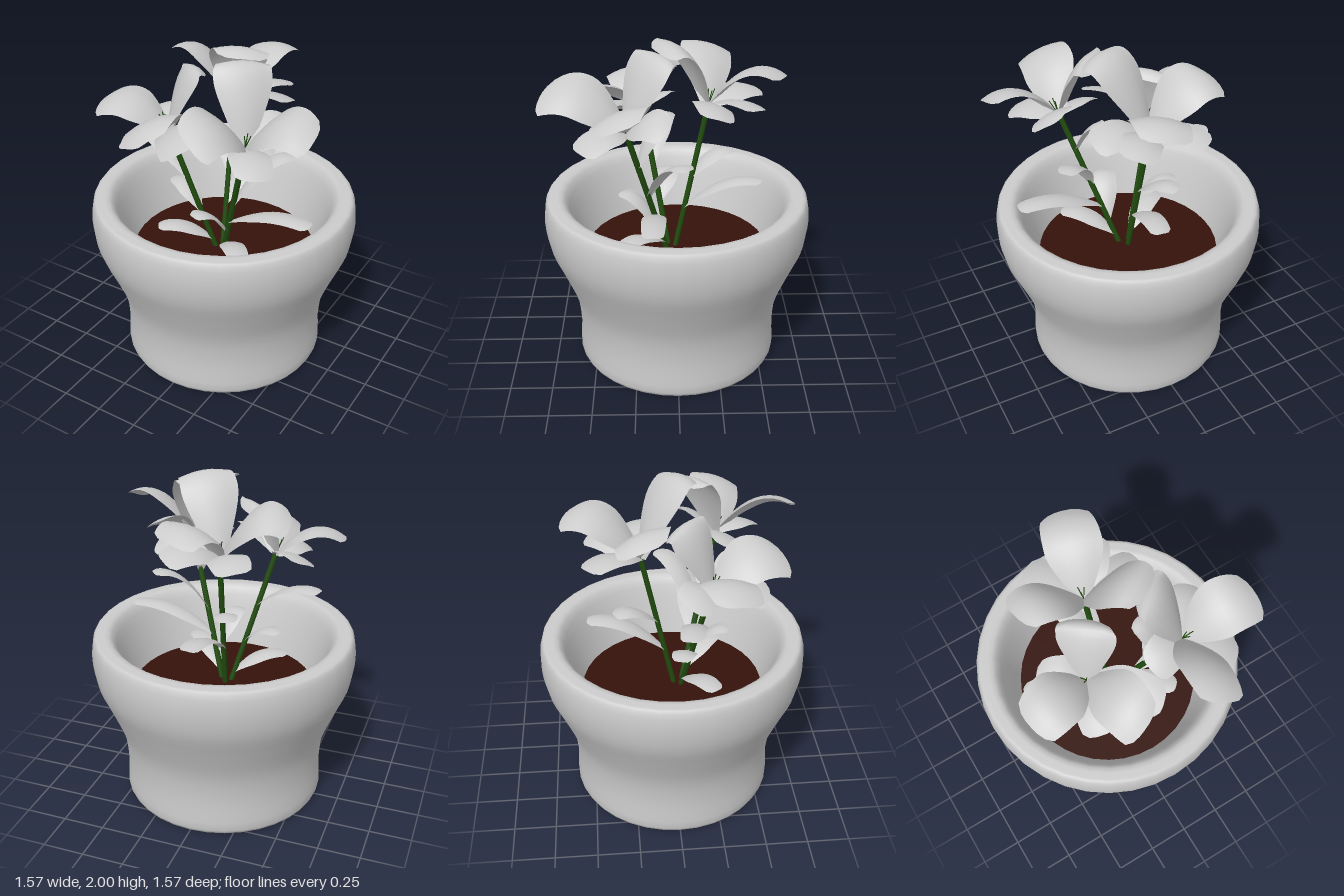
import * as THREE from 'three';

const V = (a) => new THREE.Vector3(...a);
const UP = new THREE.Vector3(0, 1, 0);
const petalMat = new THREE.MeshStandardMaterial({ color: 0xcccccc, side: THREE.DoubleSide });
const potMat = new THREE.MeshStandardMaterial({ color: 0xcccccc });
const stemMat = new THREE.MeshStandardMaterial({ color: 0x224d0f });
const soilMat = new THREE.MeshStandardMaterial({ color: 0x35120a });

// Blade arching from base to tip and banked around an axis: square tip, narrower base, gently cupped
function blade(name, base, tip, axis, width, arch, cup) {
  const ctrl = base.clone().lerp(tip, 0.5);
  ctrl.y = Math.max(base.y, tip.y) + arch;
  const curve = new THREE.QuadraticBezierCurve3(base, ctrl, tip);
  const side = tip.clone().sub(base).cross(axis).normalize();
  const rows = 12, cols = 6;
  const geo = new THREE.PlaneGeometry(1, 1, cols, rows);
  for (let i = 0; i <= rows; i++) {
    const t = i / rows;
    const spread = (0.25 + 0.75 * Math.sin(Math.PI / 2 * Math.min(1, 2 * t))) * (1 - 0.16 * t ** 6);
    const tangent = curve.getTangent(t);
    const normal = new THREE.Vector3().crossVectors(side, tangent);
    for (let j = 0; j <= cols; j++) {
      const s = (j / cols) * 2 - 1;
      const p = curve.getPoint(t)
        .addScaledVector(side, s * spread * width / 2)
        .addScaledVector(normal, -cup * s * s * spread)
        .addScaledVector(tangent, -0.03 * s ** 4 * t);
      geo.attributes.position.setXYZ(i * (cols + 1) + j, p.x, p.y, p.z);
    }
  }
  geo.computeVertexNormals();
  const mesh = new THREE.Mesh(geo, petalMat);
  mesh.name = name;
  return mesh;
}

// Straight thin rod between two points
function rod(name, from, to, radius) {
  const geo = new THREE.TubeGeometry(new THREE.LineCurve3(from, to), 1, radius, 6);
  const mesh = new THREE.Mesh(geo, stemMat);
  mesh.name = name;
  return mesh;
}

// Flower heads: centre, then the tips of three broad upper and three small lower petals
const flowers = [
  {
    name: 'backFlower', centre: [-0.04, 1.58, -0.18],
    upper: [[0.08, 1.79, -0.6], [-0.44, 1.82, -0.19], [0.18, 1.96, 0.1]],
    lower: [[-0.23, 1.62, -0.48], [0.32, 1.63, -0.22], [0.18, 1.63, -0.46]],
  },
  {
    name: 'leftFlower', centre: [-0.25, 1.49, 0.2],
    upper: [[-0.64, 1.6, 0.31], [-0.15, 1.6, 0.62], [-0.14, 1.79, 0]],
    lower: [[-0.34, 1.47, 0.5], [0.03, 1.54, 0.53], [-0.48, 1.5, 0.06]],
  },
  {
    name: 'rightFlower', centre: [0.3, 1.55, 0.28],
    upper: [[0.72, 1.72, 0.33], [0.25, 1.74, 0.74], [0.15, 1.92, 0.06]],
    lower: [[0.5, 1.52, 0.52], [0.06, 1.56, 0.36], [0.48, 1.63, 0.06]],
  },
];

// Leaves: which stem, height on that stem, tip
const leaves = [
  [1, 1.18, [-0.56, 1.35, 0.05]],
  [2, 1.1, [0.42, 1.38, -0.06]],
  [2, 0.95, [0.64, 1.09, 0.14]],
  [0, 0.95, [0.04, 1.14, -0.5]],
  [0, 1.15, [-0.14, 1.27, -0.34]],
  [1, 0.95, [-0.34, 1.07, 0.02]],
  [2, 0.85, [0, 1.05, 0.34]],
  [2, 1.32, [0.13, 1.54, 0.06]],
  [1, 0.75, [-0.32, 0.84, 0.24]],
  [2, 0.75, [0.3, 0.85, 0.32]],
];

export function createModel() {
  const model = new THREE.Group();

  // Pot: outer wall, rolled rim and inner wall in one smooth profile
  const wall = new THREE.SplineCurve([
    [0.57, 0], [0.61, 0.03], [0.603, 0.22], [0.625, 0.41], [0.7, 0.61], [0.765, 0.77],
    [0.787, 0.92], [0.772, 1.04], [0.73, 1.056], [0.66, 1.04], [0.6, 0.88], [0.535, 0.65],
  ].map(([x, y]) => new THREE.Vector2(x, y)));
  const profile = [new THREE.Vector2(0, 0), ...wall.getPoints(33)];
  const pot = new THREE.Mesh(new THREE.LatheGeometry(profile, 36), potMat);
  pot.name = 'pot';
  model.add(pot);

  // Soil
  const soil = new THREE.Mesh(new THREE.CircleGeometry(0.55, 36), soilMat);
  soil.rotation.x = -Math.PI / 2;
  soil.position.y = 0.69;
  soil.name = 'soil';
  model.add(soil);

  // Flowers: stem rising from the middle of the soil, two rings of petals, stamens
  const stems = flowers.map(({ name, centre, upper, lower }) => {
    const flower = new THREE.Group();
    flower.name = name;
    const head = V(centre);
    const root = new THREE.Vector3(head.x * 0.1, 0.67, 0.03 + head.z * 0.1);
    const lean = head.clone().sub(root);
    flower.add(rod('stem', root, head, 0.017));
    // Petals bank a little further outward than the stem leans
    const axis = lean.clone().multiply(new THREE.Vector3(1.4, 1, 1.4));
    for (const tip of upper) flower.add(blade('upperPetal', head, V(tip), axis, 0.32, 0.16, 0.03));
    for (const tip of lower) flower.add(blade('lowerPetal', head, V(tip), axis, 0.23, 0.08, 0.02));
    lean.setLength(0.1);
    for (let k = 0; k < 3; k++) {
      const a = k * Math.PI * 2 / 3;
      const end = head.clone().add(lean).add(new THREE.Vector3(0.02 * Math.cos(a), 0, 0.02 * Math.sin(a)));
      flower.add(rod('stamen', head, end, 0.003));
    }
    model.add(flower);
    return new THREE.Line3(root, head);
  });

  // Leaves growing from the stems
  for (const [index, height, tip] of leaves) {
    const { start, end } = stems[index];
    const base = start.clone().lerp(end, (height - start.y) / (end.y - start.y));
    model.add(blade('leaf', base, V(tip), UP, 0.14, 0.05, 0.015));
  }

  return model;
}
